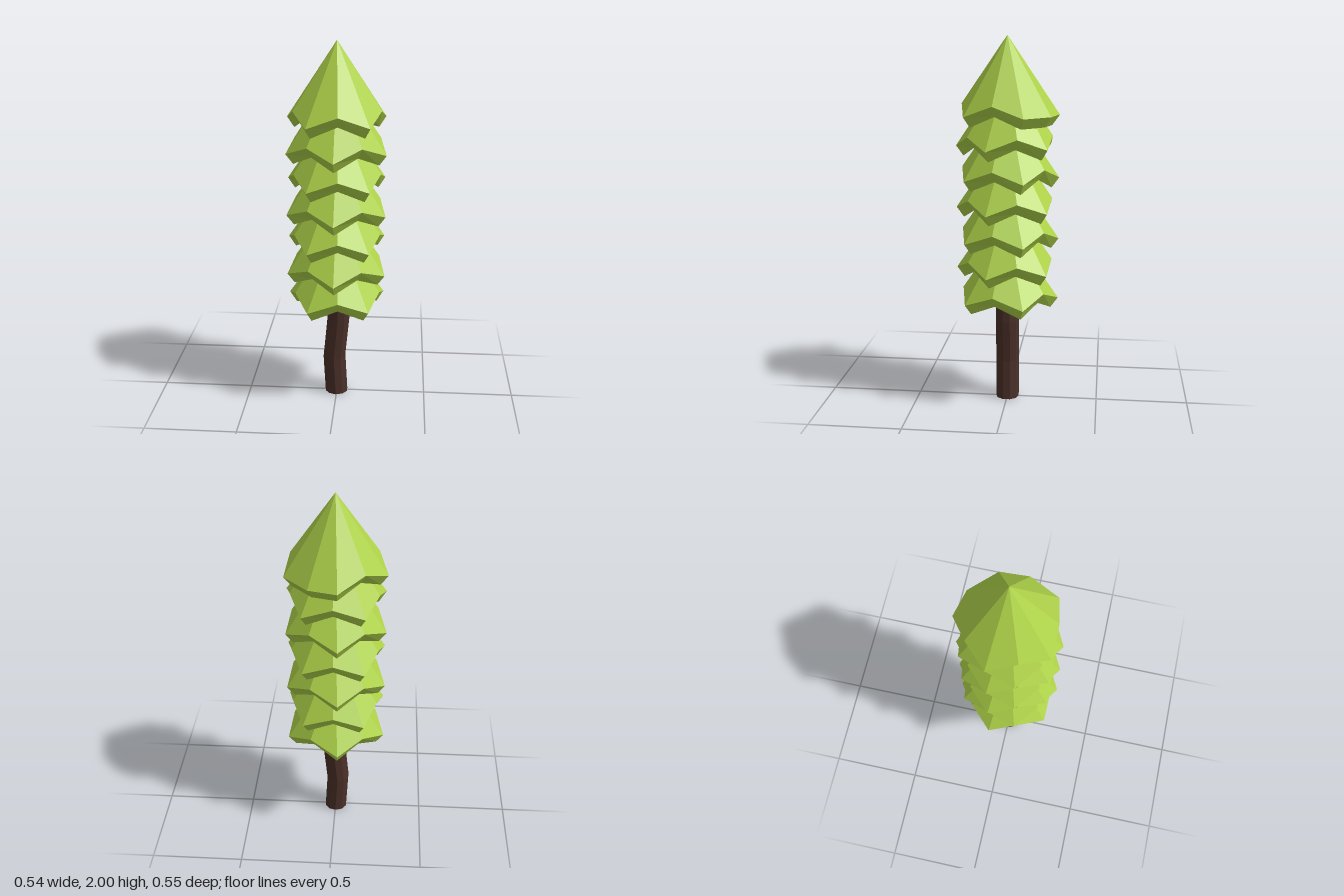
import * as THREE from 'three';

const leafMaterial = new THREE.MeshStandardMaterial({ color: 0xaed249, flatShading: true });
const barkMaterial = new THREE.MeshStandardMaterial({ color: 0x4b3029, flatShading: true });

// Joins rings of equal point count, listed from top to bottom, into a faceted surface
function loft(rings) {
  const pos = [];
  const tri = (a, b, c) => {
    if (a.equals(b) || b.equals(c) || a.equals(c)) return;
    for (const p of [a, b, c]) pos.push(p.x, p.y, p.z);
  };
  for (let r = 0; r < rings.length - 1; r++) {
    const up = rings[r], low = rings[r + 1], n = up.length;
    for (let i = 0; i < n; i++) {
      const j = (i + 1) % n;
      tri(up[i], up[j], low[i]);
      tri(up[j], low[j], low[i]);
    }
  }
  const geo = new THREE.BufferGeometry();
  geo.setAttribute('position', new THREE.Float32BufferAttribute(pos, 3));
  geo.computeVertexNormals();
  return geo;
}

const polar = (r, y, angle) => new THREE.Vector3(r * Math.cos(angle), y, r * Math.sin(angle));
const repeat = (n, fn) => Array.from({ length: n }, (_, i) => fn(i));

// One star-edged skirt of leaves: long low tips alternate with short raised notches
function leafTier(tipY, firstTip, drooped) {
  const angle = i => THREE.MathUtils.degToRad(firstTip + i * 36);
  const isTip = i => i % 2 === 0;
  const rim = repeat(10, i => polar(isTip(i) ? 0.278 : 0.242, tipY + (isTip(i) ? 0 : 0.06), angle(i)));
  const hem = repeat(10, i => polar(isTip(i) ? 0.238 : 0.205, tipY + (isTip(i) ? -0.055 : 0.005), angle(i)));
  if (drooped) {
    // one notch at the back hangs down like a tip
    rim[7].set(0.125, tipY, -0.24);
    hem[7].set(0.107, tipY - 0.055, -0.205);
  }
  const peak = repeat(10, () => new THREE.Vector3(0, tipY + 0.413, 0));
  const hollow = repeat(10, () => new THREE.Vector3(0, tipY + 0.12, 0));
  return loft([peak, rim, hem, hollow]);
}

export function createModel() {
  const tree = new THREE.Group();
  tree.name = 'tree';

  // Slightly bent trunk
  const bends = [[0.008, 0.8], [0.008, 0.6], [0.008, 0.45], [-0.014, 0.22], [-0.002, 0]];
  const rings = bends.map(([x, y]) =>
    repeat(10, i => polar(0.064, y, (i + 0.5) * Math.PI / 5).add(new THREE.Vector3(x, 0, 0))));
  rings.push(repeat(10, () => new THREE.Vector3(-0.002, 0, 0)));
  const trunk = new THREE.Mesh(loft(rings), barkMaterial);
  trunk.name = 'trunk';
  tree.add(trunk);

  // Seven stacked tiers, every second one turned
  const foliage = new THREE.Group();
  foliage.name = 'foliage';
  for (let k = 0; k < 7; k++) {
    const tier = new THREE.Mesh(leafTier(1.587 - k * 0.168, k % 2 ? 18 : 49, k === 0), leafMaterial);
    tier.name = `leafTier${k + 1}`;
    foliage.add(tier);
  }
  tree.add(foliage);
  return tree;
}
